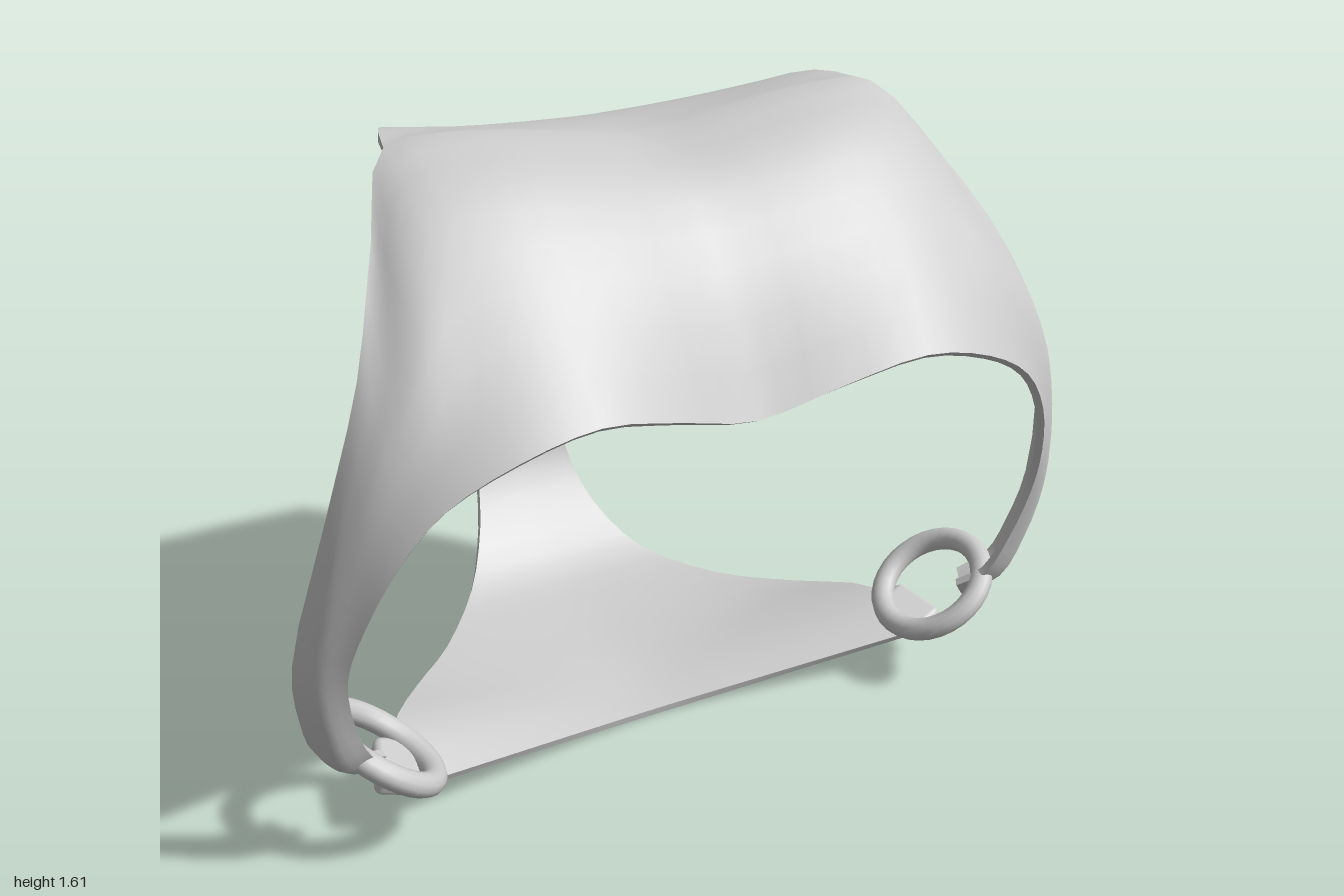
import * as THREE from 'three';
import { mergeVertices, toCreasedNormals } from 'three/addons/utils/BufferGeometryUtils.js';
import { RoundedBoxGeometry } from 'three/addons/geometries/RoundedBoxGeometry.js';

const V = (p) => new THREE.Vector3(...p);

// Smooth a line of points, n steps per span
function smooth(points, n) {
  return new THREE.CatmullRomCurve3(points).getPoints((points.length - 1) * n);
}

// Mirror a half row (centre to +x edge) into a full row from -x to +x
function mirrorRow(half) {
  const right = half.map(V);
  const left = right.slice(1).reverse().map((p) => new THREE.Vector3(-p.x, p.y, p.z));
  return [...left, ...right];
}

// Smooth a grid of control rows in both directions
function smoothGrid(rows, n) {
  const wide = rows.map((r) => smooth(r, n));
  const columns = wide[0].map((_, i) => smooth(wide.map((r) => r[i]), n));
  return columns[0].map((_, j) => columns.map((c) => c[j]));
}

// Join grids into one sheet and give it thickness, with a rim along open edges
function shell(grids, thickness) {
  const pos = [], idx = [];
  for (const grid of grids) {
    const base = pos.length / 3, w = grid[0].length;
    grid.forEach((row) => row.forEach((p) => pos.push(p.x, p.y, p.z)));
    for (let j = 0; j < grid.length - 1; j++) {
      for (let i = 0; i < w - 1; i++) {
        const a = base + j * w + i, d = a + w;
        idx.push(a, a + 1, d + 1, a, d + 1, d);
      }
    }
  }
  let sheet = new THREE.BufferGeometry();
  sheet.setAttribute('position', new THREE.Float32BufferAttribute(pos, 3));
  sheet.setIndex(idx);
  sheet = mergeVertices(sheet, 1e-4);
  sheet.computeVertexNormals();

  const outer = Array.from(sheet.attributes.position.array);
  const normals = sheet.attributes.normal.array;
  const tri = Array.from(sheet.index.array);
  const count = outer.length / 3;
  const all = outer.concat(outer.map((v, k) => v - normals[k] * thickness));
  const out = [...tri];
  const edges = new Set();
  const eachEdge = (fn) => {
    for (let k = 0; k < tri.length; k += 3) {
      for (let e = 0; e < 3; e++) fn(tri[k + e], tri[k + (e + 1) % 3]);
    }
  };
  for (let k = 0; k < tri.length; k += 3) {
    out.push(tri[k] + count, tri[k + 2] + count, tri[k + 1] + count);
  }
  eachEdge((a, b) => edges.add(a + '_' + b));
  eachEdge((a, b) => {
    if (!edges.has(b + '_' + a)) out.push(b, a, a + count, b, a + count, b + count);
  });
  const geo = new THREE.BufferGeometry();
  geo.setAttribute('position', new THREE.Float32BufferAttribute(all, 3));
  geo.setIndex(out);
  return toCreasedNormals(geo, 0.9);
}

export function createModel() {
  const group = new THREE.Group();
  const material = new THREE.MeshStandardMaterial({ color: 0xcccccc, side: THREE.DoubleSide });

  // Front panel with its two side straps: lower edge, middle, shoulder, upper/arm edge
  const lower = [[0, 1.055, 0.625], [0.2, 1.105, 0.65], [0.4, 1.15, 0.68], [0.58, 1.11, 0.675],
    [0.73, 1.02, 0.64], [0.82, 0.9, 0.605], [0.88, 0.75, 0.555], [0.91, 0.6, 0.5],
    [0.89, 0.45, 0.46], [0.85, 0.34, 0.43], [0.8, 0.29, 0.38]];
  const middle = [[0, 1.34, 0.46], [0.22, 1.37, 0.475], [0.43, 1.39, 0.475], [0.6, 1.37, 0.46],
    [0.74, 1.22, 0.54], [0.84, 1.06, 0.56], [0.92, 0.83, 0.53], [0.97, 0.6, 0.48],
    [0.95, 0.43, 0.45], [0.91, 0.31, 0.42], [0.83, 0.25, 0.37]];
  const shoulder = [[0, 1.505, 0.28], [0.21, 1.535, 0.28], [0.42, 1.56, 0.28], [0.62, 1.535, 0.27],
    [0.74, 1.33, 0.41], [0.835, 1.15, 0.5], [0.925, 0.9, 0.51], [0.99, 0.6, 0.445],
    [0.975, 0.43, 0.41], [0.94, 0.315, 0.375], [0.855, 0.255, 0.335]];
  const upper = [[0, 1.555, 0.1], [0.2, 1.585, 0.1], [0.42, 1.615, 0.1], [0.62, 1.605, 0.1],
    [0.715, 1.46, 0.26], [0.82, 1.24, 0.43], [0.92, 0.97, 0.47], [1.0, 0.6, 0.4],
    [0.985, 0.43, 0.36], [0.95, 0.32, 0.33], [0.87, 0.27, 0.3]];
  const front = smoothGrid([lower, middle, shoulder, upper].map(mirrorRow), 3);

  // Top, back strip and bottom strap: centre y, z then edge x, y, z
  const backRows = [
    [1.55, -0.07, 0.57, 1.6, -0.07], [1.51, -0.25, 0.46, 1.53, -0.24],
    [1.42, -0.42, 0.355, 1.435, -0.4], [1.3, -0.55, 0.26, 1.32, -0.53],
    [1.1, -0.635, 0.2, 1.1, -0.62], [0.85, -0.67, 0.15, 0.85, -0.66],
    [0.6, -0.68, 0.13, 0.6, -0.675], [0.4, -0.66, 0.14, 0.4, -0.655],
    [0.25, -0.56, 0.18, 0.25, -0.555], [0.13, -0.42, 0.27, 0.135, -0.41],
    [0.08, -0.25, 0.42, 0.1, -0.22], [0.045, -0.05, 0.57, 0.115, -0.06],
    [0.02, 0.08, 0.72, 0.17, 0.17], [0.005, 0.17, 0.76, 0.125, 0.32],
  ].map(([cy, cz, x, y, z]) => mirrorRow([0, 0.33, 0.67, 1].map((f) => {
    const g = f ** 1.5;
    return [x * f, cy + (y - cy) * g, cz + (z - cz) * g];
  })));
  const back = smoothGrid([mirrorRow(upper.slice(0, 4)), ...backRows], 3);
  // Share the seam with the front panel
  const ridge = front[front.length - 1], mid = (ridge.length - 1) / 2;
  back[0] = ridge.slice(mid - 9, mid + 10);

  const body = new THREE.Mesh(shell([front, back], 0.02), material);
  body.name = 'harnessBody';
  group.add(body);

  // Rings joining the side straps to the bottom strap, and the folded strap ends
  const ringGeo = new THREE.TorusGeometry(0.145, 0.03, 12, 32).rotateX(Math.PI / 2);
  const endGeo = new RoundedBoxGeometry(0.11, 0.055, 0.15, 2, 0.02);
  for (const side of [1, -1]) {
    const name = side > 0 ? 'left' : 'right';
    const ring = new THREE.Mesh(ringGeo, material);
    ring.name = name + 'Ring';
    ring.position.set(side * 0.785, 0.255, 0.295);
    ring.rotation.z = side * 0.65;
    const strapEnd = new THREE.Mesh(endGeo, material);
    strapEnd.name = name + 'StrapEnd';
    strapEnd.position.set(side * 0.74, 0.16, 0.26);
    strapEnd.rotation.set(0.2, side * 0.3, side * 0.15);
    group.add(ring, strapEnd);
  }
  return group;
}
